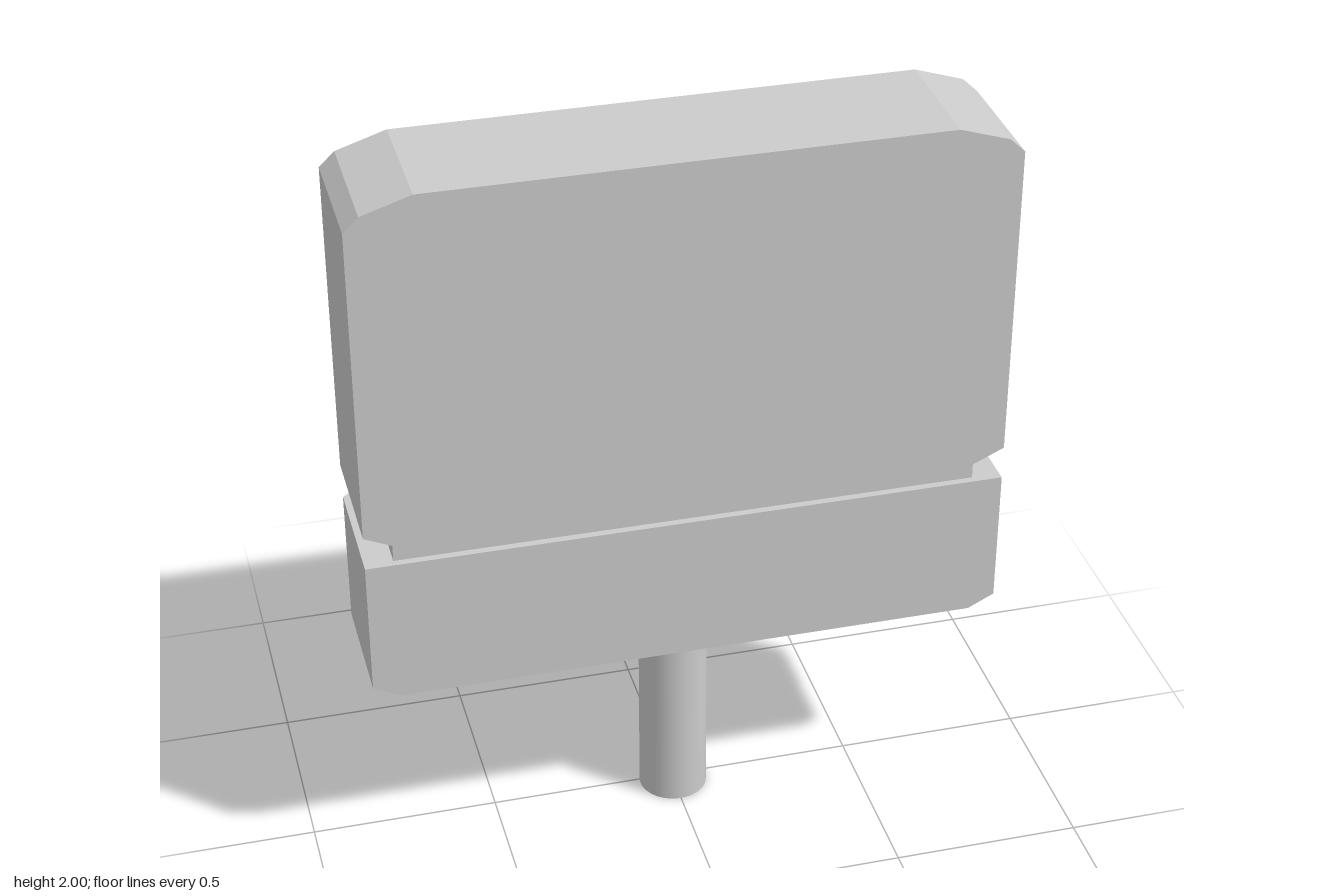
import * as THREE from 'three';

const material = new THREE.MeshStandardMaterial({ color: 0xcccccc });

// Flat-faced solid through equal-length convex loops, each counter-clockwise seen from the last loop's end.
function loft(loops) {
  const pos = [];
  const tri = (...pts) => pts.forEach((p) => pos.push(...p));
  const n = loops[0].length;
  for (let s = 0; s < loops.length - 1; s++) {
    const a = loops[s], b = loops[s + 1];
    for (let i = 0; i < n; i++) {
      const j = (i + 1) % n;
      tri(a[i], a[j], b[j]);
      tri(a[i], b[j], b[i]);
    }
  }
  const first = loops[0], last = loops[loops.length - 1];
  for (let i = 1; i < n - 1; i++) {
    tri(first[0], first[i + 1], first[i]);
    tri(last[0], last[i], last[i + 1]);
  }
  const geo = new THREE.BufferGeometry();
  geo.setAttribute('position', new THREE.Float32BufferAttribute(pos, 3));
  geo.computeVertexNormals();
  return geo;
}

// Mirrors the right half of an outline (listed bottom to top) and places it at depth z.
const outline = (half, z) => [
  ...half.map(([x, y]) => [x, y, z]),
  ...half.slice().reverse().map(([x, y]) => [-x, y, z]),
];
const inset = (half, dx, dy) =>
  half.map(([x, y]) => [x * (1 - dx / 0.84), 1.5 + (y - 1.5) * (1 - dy / 0.5)]);

export function createModel() {
  const group = new THREE.Group();
  const add = (name, geo, x = 0, y = 0, z = 0) => {
    const mesh = new THREE.Mesh(geo, material);
    mesh.name = name;
    mesh.position.set(x, y, z);
    group.add(mesh);
  };

  // Upper block: clipped corners, bevelled rear edge, lower corners slightly cut back at the front
  const rear = [[0.7, 1.0], [0.77, 1.022], [0.84, 1.065], [0.84, 1.92], [0.8, 1.958], [0.67, 2.0]];
  const front = rear.map(([x, y], i) => (i === 1 ? [x, 1.033] : [x, y]));
  add('upperBlock', loft([
    outline(inset(rear, 0.035, 0.02), -0.173),
    outline(rear, -0.15),
    outline(front, 0.2),
  ]));

  // Raised panel on the back
  const panel = [[0.7, 1.028], [0.785, 1.075], [0.785, 1.905], [0.75, 1.938], [0.64, 1.972]];
  add('backPanel', loft([outline(panel, -0.2), outline(panel, -0.165)]));

  // Recessed neck between the blocks
  add('neck', new THREE.BoxGeometry(1.53, 0.07, 0.33), 0, 0.985, 0.015);

  // Lower block: clipped bottom corners and bevelled rear uprights
  const ring = (w, y) => [
    [w, y, 0.2], [w, y, -0.14], [w - 0.035, y, -0.17],
    [-w + 0.035, y, -0.17], [-w, y, -0.14], [-w, y, 0.2],
  ];
  add('lowerBlock', loft([ring(0.77, 0.567), ring(0.84, 0.602), ring(0.84, 0.973)]));

  // Stem and its collar
  add('collar', new THREE.CylinderGeometry(0.133, 0.133, 0.045, 48), 0, 0.5525, 0.017);
  add('stem', new THREE.CylinderGeometry(0.092, 0.092, 0.57, 48), 0, 0.285, 0.017);

  return group;
}
